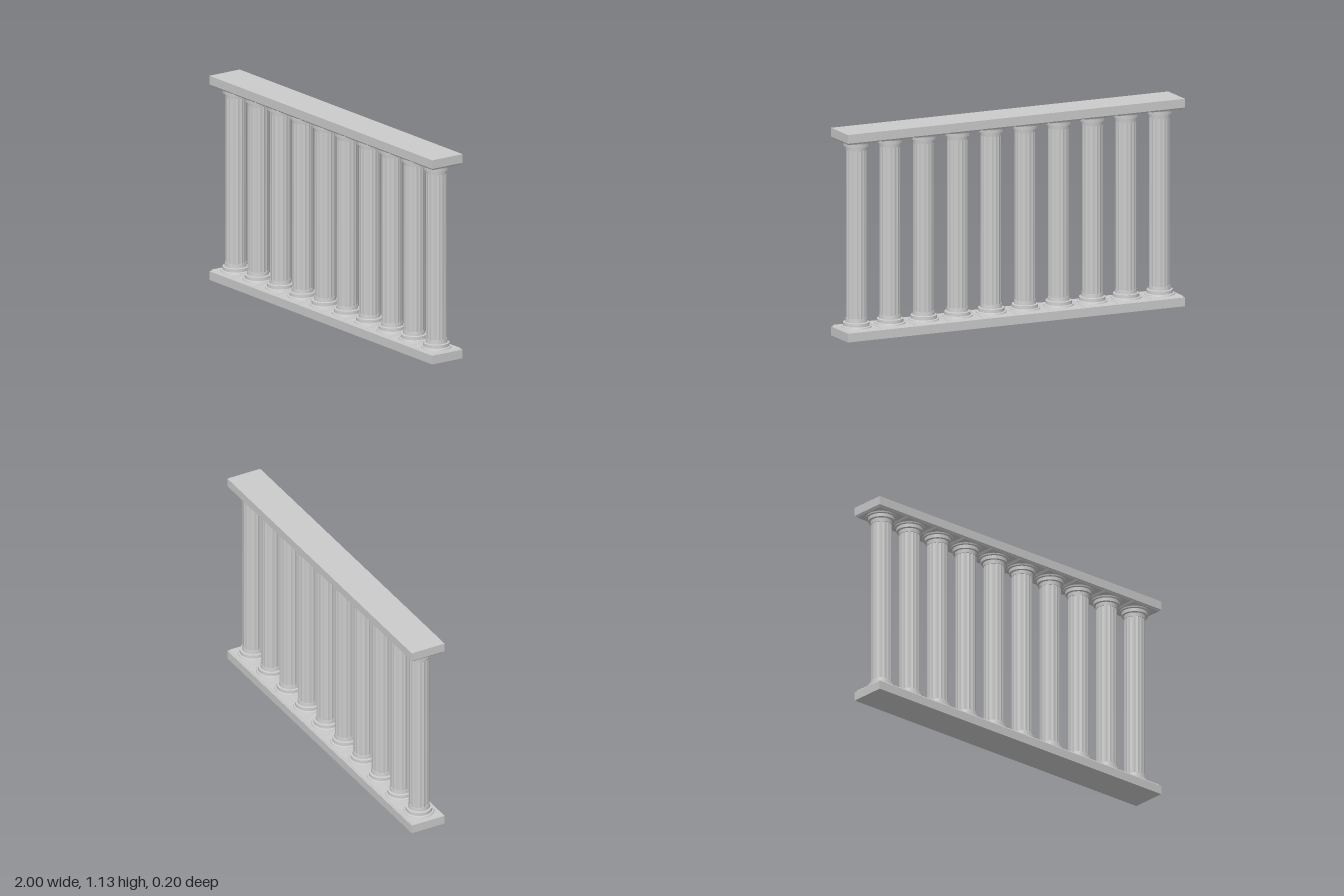
import * as THREE from 'three';

const material = new THREE.MeshStandardMaterial({ color: 0xcccccc, flatShading: true });
const HEIGHT = 1.13, SLAB = 0.048, COLUMNS = 10, SPACING = 0.2;

function add(parent, name, geometry, y = 0) {
  const mesh = new THREE.Mesh(geometry, material);
  mesh.name = name;
  mesh.position.y = y;
  parent.add(mesh);
  return mesh;
}

// Shaft outline with shallow vertical flutes
function fluteShape(radius, depth, flutes) {
  const points = [];
  const n = flutes * 4;
  for (let i = 0; i < n; i++) {
    const a = (i / n) * Math.PI * 2;
    const r = radius - depth * Math.abs(Math.sin((a * flutes) / 2));
    points.push(new THREE.Vector2(Math.cos(a) * r, Math.sin(a) * r));
  }
  return new THREE.Shape(points);
}

// Stepped round moulding between plinth and shaft
const mouldingProfile = [
  [0, 0.056], [0.083, 0.056], [0.08, 0.065], [0.071, 0.067], [0.07, 0.085],
  [0.059, 0.087], [0.057, 0.107], [0, 0.107],
].map(([r, y]) => new THREE.Vector2(r, y));
const mouldingGeometry = new THREE.LatheGeometry(mouldingProfile, 32);

// Square plate narrowing slightly towards the shaft
const plinthGeometry = new THREE.CylinderGeometry(0.09 * Math.SQRT2, 0.096 * Math.SQRT2, 0.01, 4)
  .rotateY(Math.PI / 4);

const shaftGeometry = new THREE.ExtrudeGeometry(fluteShape(0.056, 0.003, 16), {
  depth: HEIGHT - 0.2, bevelEnabled: false,
}).rotateX(-Math.PI / 2);

// Plinth and mouldings, used upright at the foot and turned over at the head
function createEnd(name) {
  const end = new THREE.Group();
  end.name = name;
  add(end, 'plinth', plinthGeometry, SLAB + 0.005);
  add(end, 'moulding', mouldingGeometry);
  return end;
}

function createColumn() {
  const column = new THREE.Group();
  column.name = 'column';
  add(column, 'shaft', shaftGeometry, 0.1);
  const capital = createEnd('capital');
  capital.rotation.x = Math.PI;
  capital.position.y = HEIGHT;
  column.add(createEnd('base'), capital);
  return column;
}

export function createModel() {
  const model = new THREE.Group();
  model.name = 'balustrade';

  // Bottom and top rails
  const rail = new THREE.BoxGeometry(COLUMNS * SPACING, SLAB, 0.2);
  add(model, 'bottomRail', rail, SLAB / 2);
  add(model, 'topRail', rail, HEIGHT - SLAB / 2);

  // Row of columns
  for (let i = 0; i < COLUMNS; i++) {
    const column = createColumn();
    column.position.x = (i - (COLUMNS - 1) / 2) * SPACING;
    model.add(column);
  }
  return model;
}
